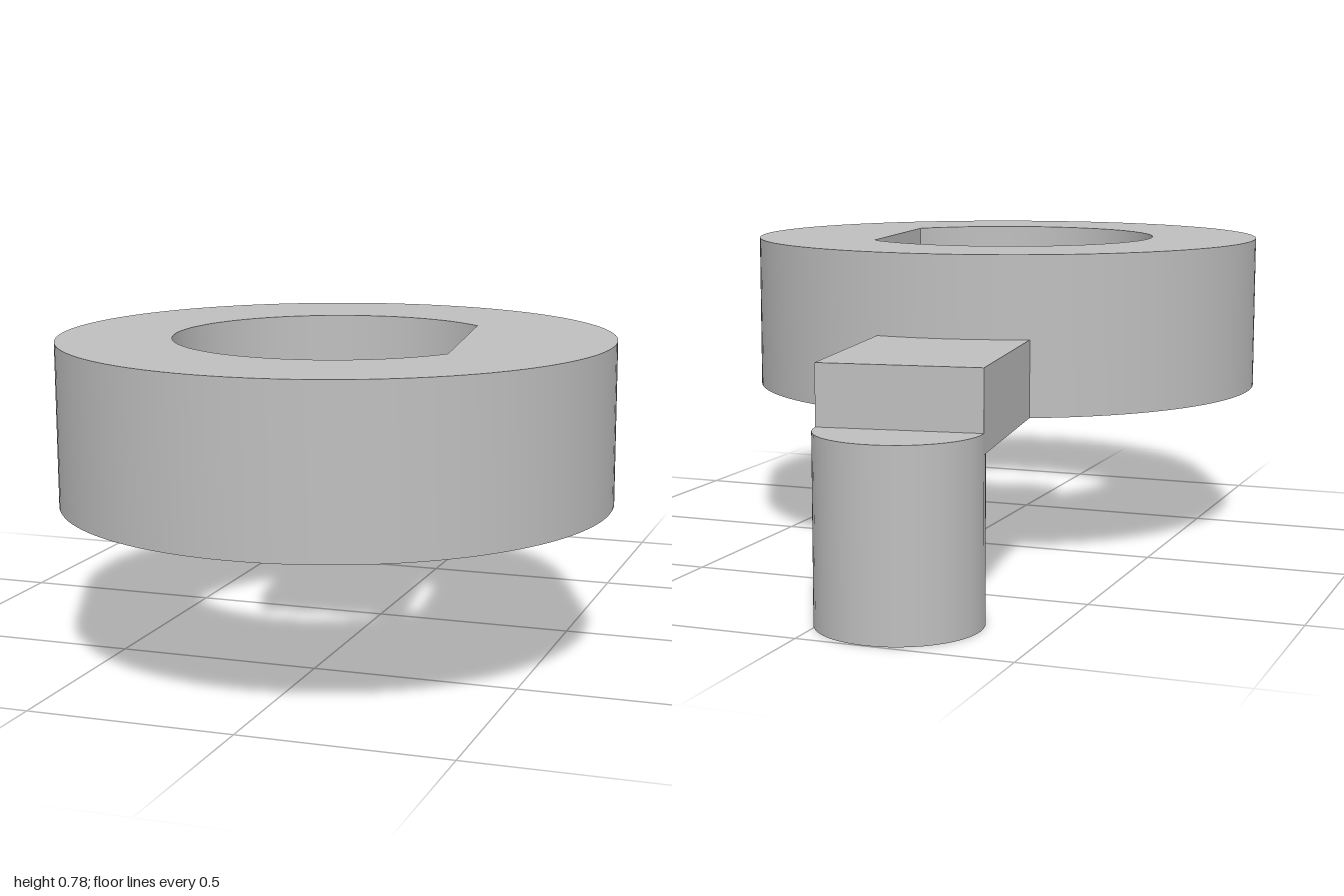
import * as THREE from 'three';
import { toCreasedNormals } from 'three/addons/utils/BufferGeometryUtils.js';

export function createModel() {
  const group = new THREE.Group();
  const grey = new THREE.MeshStandardMaterial({ color: 0xbfbfbf });
  grey.name = 'plain grey';

  const baseY = 0.386; // shared underside of ring and arm
  const armLength = 1.15;
  const pinRadius = 0.19;

  const add = (name, geometry, x, y, z) => {
    const mesh = new THREE.Mesh(geometry, grey);
    mesh.name = name;
    mesh.position.set(x, y, z);
    crank.add(mesh);
  };

  // Whole crank turns about the ring centre, arm pointing back
  const crank = new THREE.Group();
  crank.name = 'crank';
  crank.position.z = 0.331;
  crank.rotation.y = THREE.MathUtils.degToRad(8.1);
  group.add(crank);

  // Ring with a D-shaped bore, flat on the +x side
  const outline = new THREE.Shape().absarc(0, 0, 0.669, 0, Math.PI * 2, false);
  const flatAngle = Math.acos(0.306 / 0.393);
  const bore = new THREE.Path().absarc(0, 0, 0.393, flatAngle, Math.PI * 2 - flatAngle, false);
  bore.closePath();
  outline.holes.push(bore);
  const ring = new THREE.ExtrudeGeometry(outline, { depth: 0.394, bevelEnabled: false, curveSegments: 64 });
  ring.rotateX(-Math.PI / 2);
  add('ring', toCreasedNormals(ring, 0.4), 0, baseY, 0);

  // Arm from the ring centre to the pin axis
  add('arm', new THREE.BoxGeometry(pinRadius * 2, 0.19, armLength), 0, baseY + 0.095, -armLength / 2);

  // Pin hanging below the end of the arm
  add('pin', new THREE.CylinderGeometry(pinRadius, pinRadius, 0.433, 48), 0, 0.2165, -armLength);

  return group;
}
